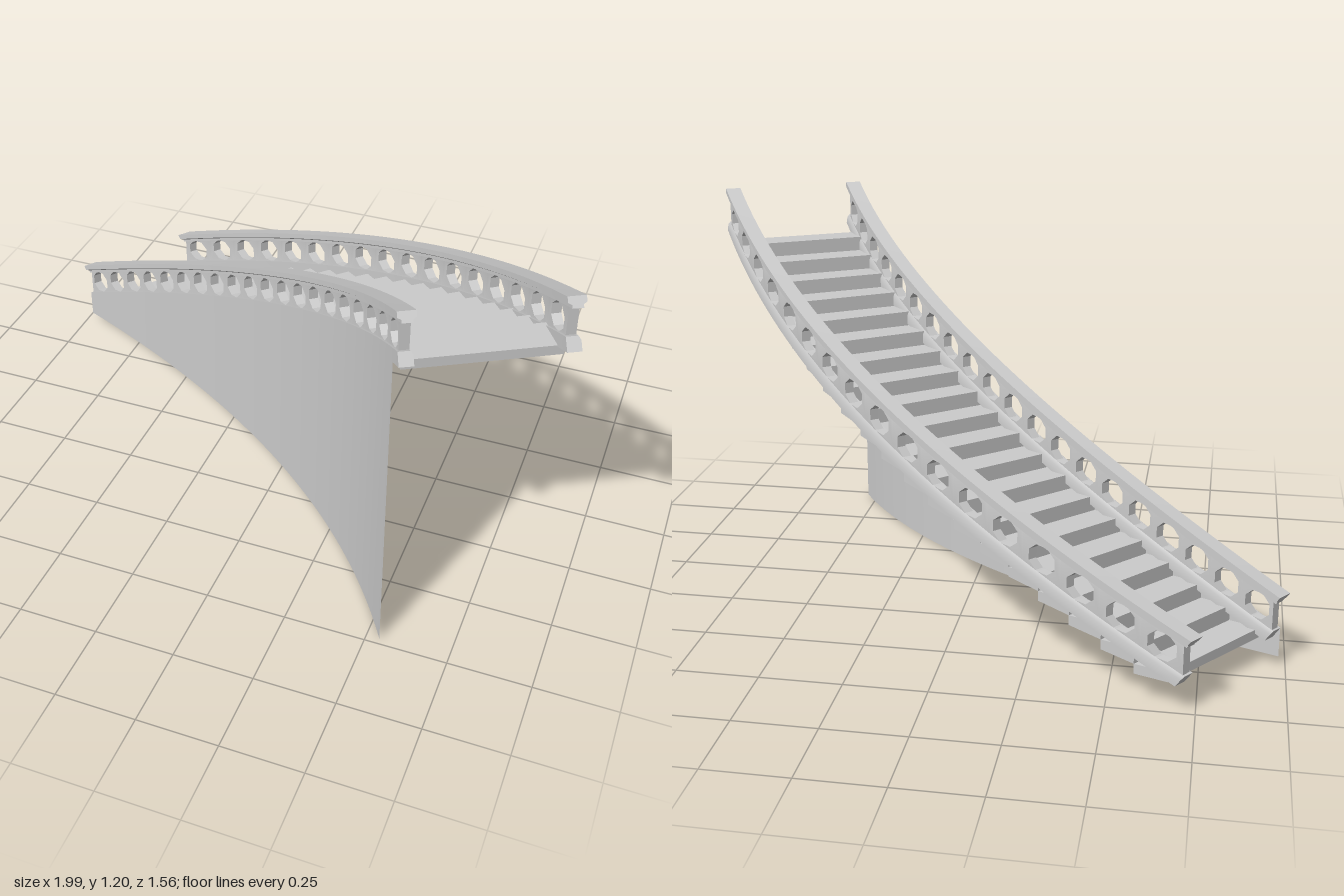
import * as THREE from 'three';
import { toCreasedNormals } from 'three/addons/utils/BufferGeometryUtils.js';

const grey = new THREE.MeshStandardMaterial({ color: 0xcccccc });
const sheet = new THREE.MeshStandardMaterial({ color: 0xcccccc, side: THREE.DoubleSide });

// Plan curves of the two sides, from the foot (t = 0) to the head (t = 1)
const planCurve = (...pts) => new THREE.QuadraticBezierCurve(...pts.map(([x, z]) => new THREE.Vector2(x, z)));
const innerCurve = planCurve([-0.985, -0.44], [0.178, 0.023], [0.588, 0.772]);
const outerCurve = planCurve([-0.745, -0.76], [0.404, -0.392], [0.968, 0.562]);

// Point on a side at t, shifted u outwards along the line of the steps
const along = (curve) => (t, u = 0) => {
  const across = outerCurve.getPointAt(t).sub(innerCurve.getPointAt(t)).normalize();
  return curve.getPointAt(t).addScaledVector(across, u).toArray();
};
const inner = along(innerCurve), outer = along(outerCurve);
const railTop = (t) => 0.235 + 0.975 * t;

// Moves every vertex by a rule, then rebuilds normals with sharp edges.
function remap(geo, rule) {
  const p = geo.attributes.position;
  for (let i = 0; i < p.count; i++) p.setXYZ(i, ...rule(p.getX(i), p.getY(i), p.getZ(i)));
  geo.computeVertexNormals();
  return toCreasedNormals(geo, 0.5);
}
const polygon = (pts) => new THREE.Shape(pts.map(([x, y]) => new THREE.Vector2(x, y)));
function add(group, name, geo, material = grey) {
  const mesh = new THREE.Mesh(geo, material);
  mesh.name = name;
  group.add(mesh);
}

// Sweeps a cross-section (outward, height below rail top), ends cut square to the slope.
function sweep(path, profile, t0, t1) {
  const geo = new THREE.ExtrudeGeometry(polygon(profile), { depth: 1, steps: 40, bevelEnabled: false });
  return remap(geo, (u, v, d) => {
    const t = t0 + (t1 - t0) * d - 0.24 * v, [x, z] = path(t, u);
    return [x, railTop(t) + v, z];
  });
}

function balustrade(name, path, cells, holeWidth) {
  const group = new THREE.Group();
  group.name = name;
  add(group, 'handrail', sweep(path, [
    [-0.015, -0.034], [0.015, -0.034], [0.015, -0.024], [0.025, -0.018],
    [0.025, 0], [-0.025, 0], [-0.025, -0.018], [-0.015, -0.024]], 0, 0.985));
  add(group, 'baseRail', sweep(path, [
    [-0.02, -0.166], [0.02, -0.166], [0.02, -0.135], [0.014, -0.122], [-0.02, -0.122]], -0.02, 0.96));

  // pierced panels: one upright eight-sided opening per cell, waisted balusters between
  const t0 = 0.012, step = 0.97 / cells, top = -0.03, bottom = -0.125;
  for (let i = 0; i < cells; i++) {
    const cell = polygon([[0, bottom], [1, bottom], [1, top], [0, top]]);
    const hole = [];
    for (let k = 0; k < 8; k++) {
      const a = -(k + 0.5) * Math.PI / 4;
      hole.push(new THREE.Vector2(0.5 + holeWidth / 2 * Math.cos(a), -0.0775 + 0.044 * Math.sin(a)));
    }
    cell.holes.push(new THREE.Path(hole));
    const geo = new THREE.ExtrudeGeometry(cell, { depth: 0.028, bevelEnabled: false });
    add(group, 'balusterPanel', remap(geo, (s, v, w) => {
      const t = t0 + (i + s) * step, [x, z] = path(t, 0.014 - w);
      const onEdge = s < 0.001 || s > 0.999;
      // openings follow the slope only partly, so they stay nearly round
      const level = onEdge ? railTop(t) : railTop(t0 + (i + 0.5 + 0.35 * (s - 0.5)) * step);
      return [x, level + v, z];
    }));
  }
  return group;
}

export function createModel() {
  const model = new THREE.Group();
  model.name = 'curvedStaircase';

  // steps: closed riser in front, underside rising towards the back
  const steps = new THREE.Group();
  steps.name = 'steps';
  const count = 20, first = 0.035, run = 0.935 / count, rise = 0.0476, slab = 0.03;
  for (let i = 0; i < count; i++) {
    const top = 0.115 + rise * i, t = first + run * i;
    const front = i === 0 ? slab : rise;
    const side = polygon([[t, top - front], [t + run, top - slab], [t + run, top], [t, top]]);
    const geo = new THREE.ExtrudeGeometry(side, { depth: 1, bevelEnabled: false });
    add(steps, 'step', remap(geo, (s, y, w) => {
      const [ax, az] = outer(s), [bx, bz] = inner(s);
      return [ax + (bx - ax) * w, y, az + (bz - az) * w];
    }));
  }
  model.add(steps);

  model.add(balustrade('innerBalustrade', inner, 20, 0.82));
  model.add(balustrade('outerBalustrade', outer, 17, 0.74));

  // curved wall carrying the inner side down to the floor
  const wall = new THREE.PlaneGeometry(1, 1, 40, 1);
  add(model, 'supportWall', remap(wall, (px, py) => {
    const t = 0.01 + 0.96 * (px + 0.5), [x, z] = inner(t, -0.021);
    const low = 0.03 * (0.97 - t), high = railTop(t) - 0.122;
    return [x, low + (high - low) * (py + 0.5), z];
  }), sheet);

  return model;
}
